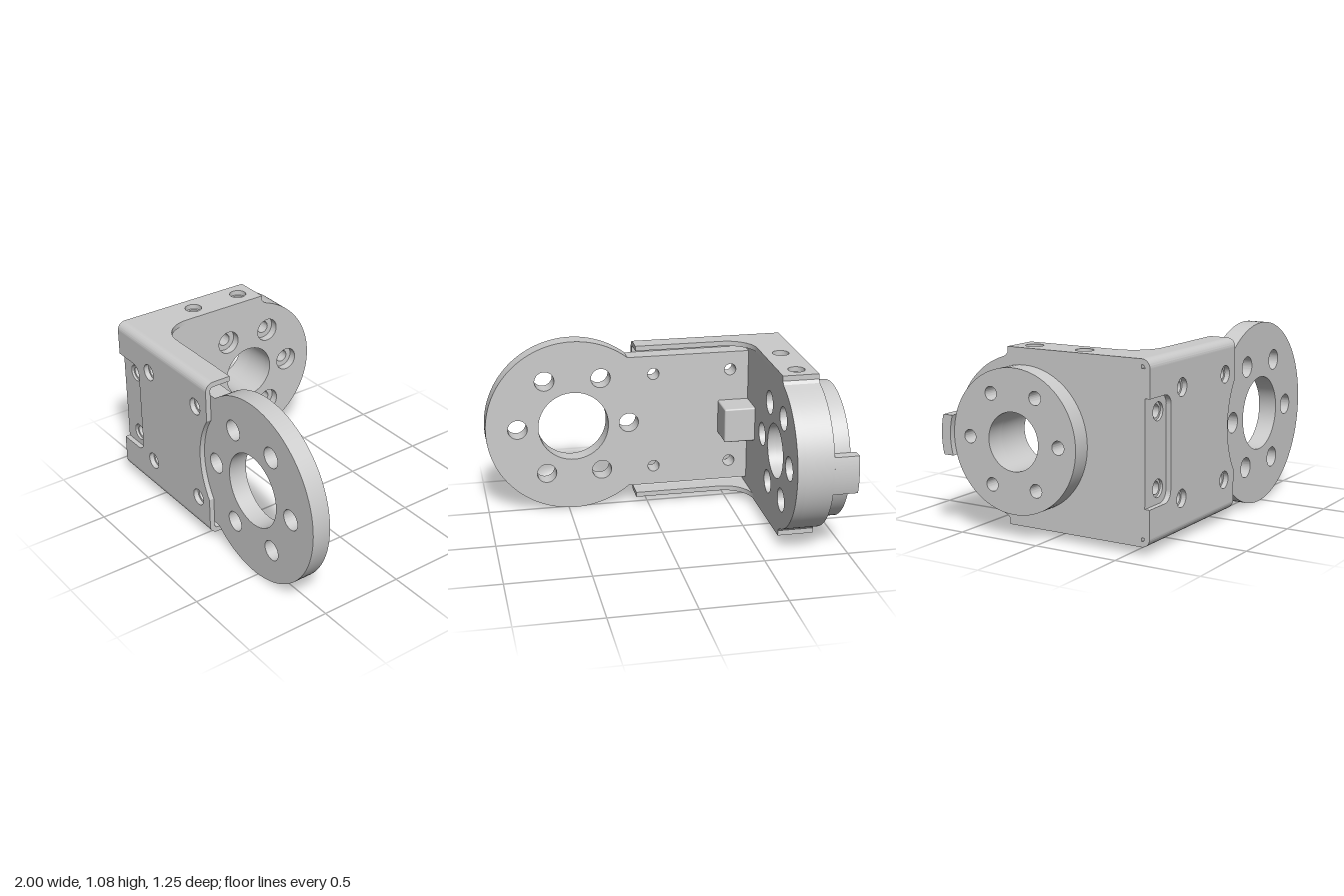
import * as THREE from 'three';
import { toCreasedNormals } from 'three/addons/utils/BufferGeometryUtils.js';
import { RoundedBoxGeometry } from 'three/addons/geometries/RoundedBoxGeometry.js';

const MID = 0.54;            // height of both ring centres
const HUB_Z = -0.165;        // depth of the side hub
const mat = new THREE.MeshStandardMaterial({ color: 0xcccccc });

const poly = (pts) => new THREE.Shape(pts.map(([x, y]) => new THREE.Vector2(x, y)));
const rect = (x0, y0, x1, y1) => poly([[x0, y0], [x1, y0], [x1, y1], [x0, y1]]);

function hole(shape, x, y, r) {
  shape.holes.push(new THREE.Path().absarc(x, y, r, 0, Math.PI * 2, true));
}

function holeCircle(shape, x, y, radius, r) {
  for (let i = 0; i < 6; i++) {
    const a = (i * Math.PI) / 3;
    hole(shape, x + radius * Math.cos(a), y + radius * Math.sin(a), r);
  }
}

export function createModel() {
  const model = new THREE.Group();

  const add = (name, geometry) => {
    const mesh = new THREE.Mesh(geometry, mat);
    mesh.name = name;
    model.add(mesh);
    return mesh;
  };
  const extrude = (shape, depth) =>
    new THREE.ExtrudeGeometry(shape, { depth, bevelEnabled: false, curveSegments: 40 });
  const crease = (g) => toCreasedNormals(g, 0.5);

  // Shape (x, y), spanning z0..z1
  const alongZ = (name, shape, z0, z1) =>
    add(name, crease(extrude(shape, z1 - z0).translate(0, 0, z0)));
  // Shape (z, y), spanning x0..x1
  const alongX = (name, shape, x0, x1) =>
    add(name, crease(extrude(shape, x1 - x0).rotateY(-Math.PI / 2).translate(x1, 0, 0)));
  // Shape (x, z), spanning y0..y1
  const alongY = (name, shape, y0, y1) =>
    add(name, crease(extrude(shape, y1 - y0).rotateX(Math.PI / 2).translate(0, y1, 0)));

  const screwXs = [-0.525, -0.04], screwYs = [0.24, 0.845];
  const screws = (shape, r) => screwXs.forEach((x) => screwYs.forEach((y) => hole(shape, x, y, r)));

  // Ring plate with a neck running back into the bracket
  const a = Math.atan2(0.42, -0.339);
  const ring = new THREE.Shape();
  ring.moveTo(-0.64, 0.12);
  ring.lineTo(0.09, 0.12);
  ring.absarc(0.46, MID, 0.54, -a, a, false);
  ring.lineTo(0.09, 0.96);
  ring.lineTo(-0.64, 0.96);
  hole(ring, 0.46, MID, 0.217);
  holeCircle(ring, 0.46, MID, 0.345, 0.06);
  screws(ring, 0.036);
  alongZ('ringPlate', ring, 0.48, 0.59);

  // Front panel: open pocket on one edge, concave cut on the other
  const cut = Math.acos(0.385 / 0.465);
  const panel = new THREE.Shape();
  panel.moveTo(-0.855, 0.095);
  panel.lineTo(0.075, 0.095);
  panel.absarc(0.46, MID, 0.465, Math.PI + cut, Math.PI - cut, true);
  panel.lineTo(0.075, 0.985);
  panel.lineTo(-0.855, 0.985);
  panel.lineTo(-0.855, 0.83);
  panel.lineTo(-0.70, 0.83);
  panel.absarc(-0.70, 0.77, 0.06, Math.PI / 2, 0, true);
  panel.absarc(-0.70, 0.31, 0.06, 0, -Math.PI / 2, true);
  panel.lineTo(-0.855, 0.25);
  screws(panel, 0.05);
  alongZ('frontPanel', panel, 0.59, 0.62);

  // Block behind the pocket, with two blind screw holes
  const pocket = rect(-0.855, 0.095, -0.64, 0.985);
  const pocketRim = rect(-0.855, 0.095, -0.64, 0.985);
  [0.335, 0.745].forEach((y) => {
    hole(pocket, -0.725, y, 0.036);
    hole(pocketRim, -0.725, y, 0.05);
  });
  alongZ('pocketBlock', pocket, 0.5, 0.575);
  alongZ('pocketFace', pocketRim, 0.575, 0.59);

  // Top and bottom flanges with their rounded front corners
  for (const side of [1, -1]) {
    const label = side > 0 ? 'top' : 'bottom';
    const span = (near, far) => [MID + side * near, MID + side * far].sort((p, q) => p - q);

    const flange = new THREE.Shape();
    flange.moveTo(-0.855, 0.57);
    flange.lineTo(-0.855, -0.275);
    flange.lineTo(-0.64, -0.275);
    flange.lineTo(-0.64, 0.28);
    flange.absarc(-0.46, 0.28, 0.18, Math.PI, Math.PI / 2, true);
    flange.lineTo(0.075, 0.46);
    flange.lineTo(0.075, 0.57);
    const core = rect(-0.855, -0.275, -0.64, 0.5);
    [-0.17, 0.155].forEach((z) => {
      hole(flange, -0.75, z, 0.05);
      hole(core, -0.75, z, 0.036);
    });
    alongY(label + 'Flange', flange, ...span(0.465, 0.495));
    alongY(label + 'FlangeCore', core, ...span(0.39, 0.465));

    const cy = MID + side * 0.445;
    const corner = new THREE.Shape();
    corner.absarc(0.57, cy, 0.05, 0, side * Math.PI / 2, side < 0);
    corner.absarc(0.57, cy, 0.02, side * Math.PI / 2, 0, side > 0);
    alongX(label + 'RoundedCorner', corner, -0.855, 0.075);

    const filler = new THREE.BoxGeometry(0.215, 0.02, 0.07);
    add(label + 'CornerFiller', filler.translate(-0.7475, MID + side * 0.455, 0.535));
  }

  // Side plate with a round end; inner layer carries the counterbores
  const sideShape = (r) => {
    const s = new THREE.Shape();
    const e = Math.atan2(0.435, -0.15);
    s.moveTo(0.5, 0.15);
    s.lineTo(0.5, 0.93);
    s.lineTo(-0.275, 0.93);
    s.lineTo(-0.275, 1.004);
    s.lineTo(-0.29, 0.985);
    s.absarc(HUB_Z, MID, 0.46, e, 2 * Math.PI - e, false);
    s.lineTo(-0.29, 0.095);
    s.lineTo(-0.275, 0.076);
    s.lineTo(-0.275, 0.15);
    hole(s, HUB_Z, MID, 0.163);
    holeCircle(s, HUB_Z, MID, 0.29, r);
    return s;
  };
  alongX('sidePlate', sideShape(0.038), -0.855, -0.69);
  alongX('sidePlateCounterbores', sideShape(0.071), -0.69, -0.64);

  // Round boss on the outer face
  const boss = new THREE.Shape().absarc(HUB_Z, MID, 0.402, 0, Math.PI * 2, false);
  hole(boss, HUB_Z, MID, 0.163);
  holeCircle(boss, HUB_Z, MID, 0.29, 0.038);
  alongX('boss', boss, -0.965, -0.855);

  // Locating tab at the back of the boss
  const tab = new THREE.Shape();
  tab.absarc(HUB_Z, MID, 0.46, Math.PI - 0.247, Math.PI + 0.247, false);
  tab.absarc(HUB_Z, MID, 0.4, Math.PI + 0.285, Math.PI - 0.285, true);
  alongX('locatingTab', tab, -1, -0.855);

  // Stop block in the inner corner
  const stop = new RoundedBoxGeometry(0.2, 0.215, 0.195, 2, 0.01);
  add('stopBlock', stop.translate(-0.55, MID, 0.3925));

  return model;
}
